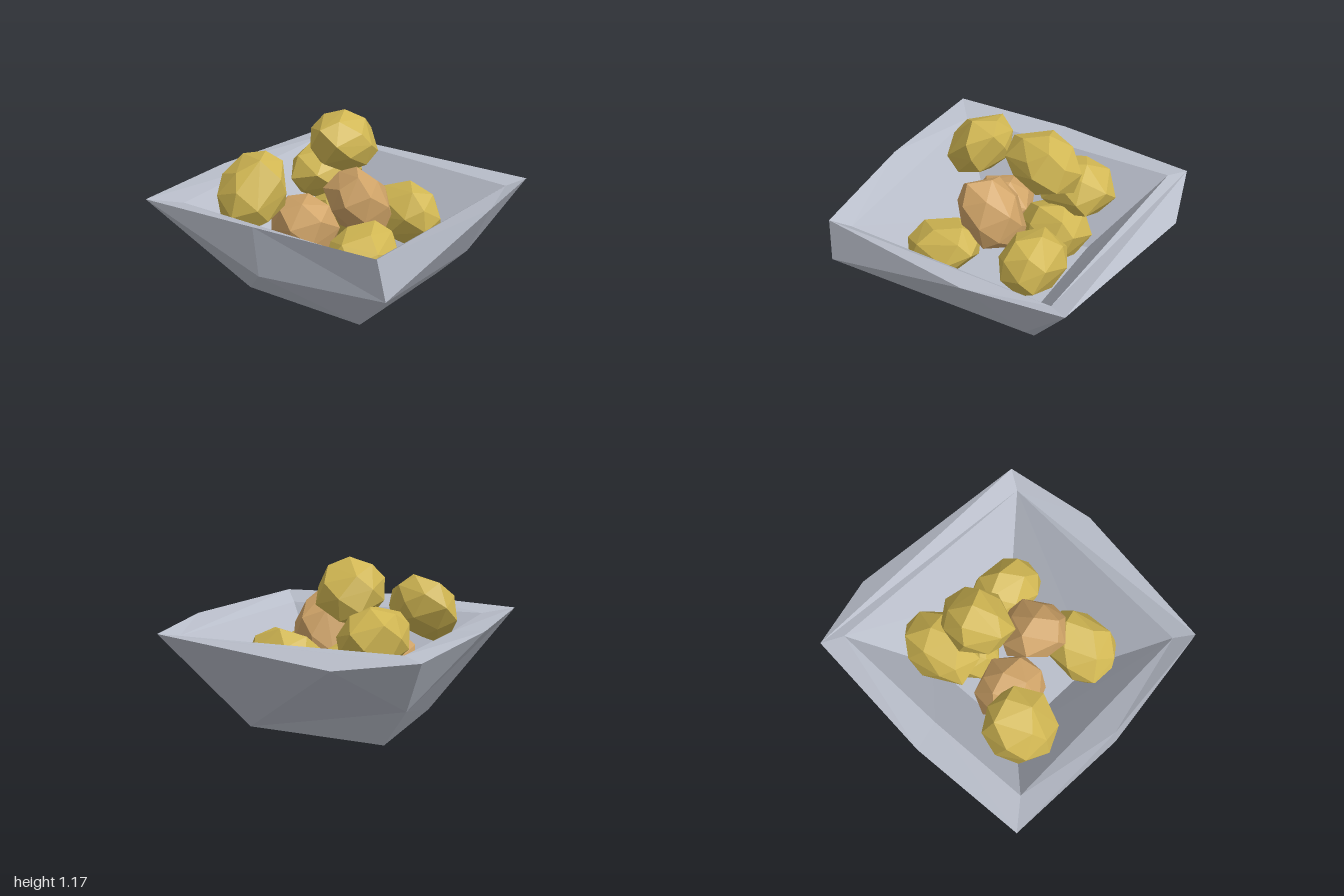
import * as THREE from 'three';
import { ConvexGeometry } from 'three/addons/geometries/ConvexGeometry.js';

// Small seeded generator, so every nugget has its own fixed shape
function seeded(seed) {
  let s = seed * 7919 + 17;
  return () => (s = (s * 16807) % 2147483647) / 2147483647;
}

// Faceted lump, leaning along x, that exactly fills a box given by centre and half sizes
function nugget(seed, centre, half, lean) {
  const rand = seeded(seed);
  for (let i = 0; i < 5; i++) rand();
  const points = [];
  const count = 24;
  for (let i = 0; i < count; i++) {
    const y = 1 - (2 * (i + 0.5)) / count;
    const a = i * 2.39996 + (rand() - 0.5) * 0.5;
    const r = Math.sqrt(1 - y * y);
    points.push(new THREE.Vector3(Math.cos(a) * r + lean * y, y, Math.sin(a) * r)
      .multiplyScalar(0.94 + rand() * 0.12));
  }
  const box = new THREE.Box3().setFromPoints(points);
  const mid = box.getCenter(new THREE.Vector3());
  const size = box.getSize(new THREE.Vector3()).multiplyScalar(0.5);
  const h = new THREE.Vector3(...half);
  points.forEach((p) => p.sub(mid).divide(size).multiply(h));
  const geometry = new ConvexGeometry(points);
  geometry.translate(...centre);
  return geometry;
}

// Rough-hewn hollow basin: outer shell, sloping rim, inner walls and floor
function basinGeometry() {
  const corners = [
    // 0-7 outer rim, from the front -x corner, anticlockwise from above
    [-0.88, 0.735, 0.87], [0.22, 0.715, 0.985], [0.88, 0.69, 0.87], [1, 0.6, -0.44],
    [0.84, 0.665, -0.955], [-0.16, 0.69, -0.99], [-1, 0.71, -0.91], [-0.98, 0.745, 0],
    // 8-11 lower corners of the walls
    [-0.85, 0.455, 0.915], [0.48, 0.23, 0.66], [0.58, 0.29, -0.75], [-0.98, 0.42, 0.04],
    // 12-15 foot
    [-0.57, 0.06, 0.52], [0.43, 0.015, 0.45], [0.4, 0, -0.52], [-0.52, 0.015, -0.45],
    // 16-20 inner rim
    [-0.78, 0.66, 0.77], [0.74, 0.66, 0.79], [0.76, 0.685, -0.81],
    [-0.1, 0.68, -0.78], [-0.84, 0.68, -0.72],
    // 21-24 inner floor
    [-0.43, 0.15, 0.38], [0.38, 0.15, 0.38], [0.36, 0.15, -0.42], [-0.43, 0.15, -0.36],
  ];
  const shell = [
    [0, 8, 1], [1, 8, 9], [1, 9, 2], [8, 12, 9], [12, 13, 9], // front
    [2, 9, 13], [2, 13, 3], [3, 13, 10], [3, 10, 4], [13, 14, 10], // +x side
    [4, 10, 5], [5, 10, 6], [10, 14, 15], [10, 15, 6], // back
    [6, 11, 7], [6, 15, 11], [15, 12, 11], [11, 12, 8], [7, 11, 8], [7, 8, 0], // -x side
    [12, 15, 14], [12, 14, 13], // underside
  ];
  const hollow = [
    [0, 1, 17], [1, 2, 17], [0, 17, 16], // front rim
    [2, 3, 4], [2, 4, 17], [4, 18, 17], // +x rim
    [4, 5, 18], [5, 19, 18], [5, 6, 19], [6, 20, 19], // back rim
    [6, 7, 20], [7, 16, 20], [7, 0, 16], // -x rim
    [16, 17, 21], [17, 22, 21], [17, 18, 22], [18, 23, 22], // inner walls
    [18, 19, 23], [19, 24, 23], [19, 20, 24], [20, 16, 24], [16, 21, 24],
    [21, 22, 23], [21, 23, 24], // floor
  ];
  const geometry = new THREE.BufferGeometry();
  geometry.setAttribute('position', new THREE.Float32BufferAttribute(
    [...shell, ...hollow].flatMap((face) => face.flatMap((i) => corners[i])), 3));
  geometry.computeVertexNormals();
  return geometry;
}

export function createModel() {
  const group = new THREE.Group();
  const make = (color) => new THREE.MeshStandardMaterial({ color, flatShading: true });
  const stone = make(0xb8bdc9);
  const gold = make(0xd0b652);
  const tan = make(0xd0a468);

  const basin = new THREE.Mesh(basinGeometry(), stone);
  basin.name = 'basin';
  group.add(basin);

  // Heap of nuggets: name, material, centre, half sizes, lean
  const heap = [
    ['goldNugget', gold, [-0.525, 0.735, -0.41], [0.235, 0.245, 0.24], 0.35],
    ['goldNugget', gold, [0.155, 0.95, -0.155], [0.25, 0.22, 0.22], -0.2],
    ['goldNugget', gold, [0.255, 0.66, -0.39], [0.29, 0.21, 0.22], 0],
    ['goldNugget', gold, [0.315, 0.47, 0.26], [0.2, 0.22, 0.26], 0],
    ['goldNugget', gold, [-0.35, 0.4, 0.36], [0.28, 0.21, 0.21], 0.3],
    ['goldNugget', gold, [0.21, 0.4, -0.2], [0.24, 0.22, 0.22], 0],
    ['tanNugget', tan, [-0.085, 0.645, 0.135], [0.23, 0.255, 0.23], -0.35],
    ['tanNugget', tan, [-0.22, 0.43, -0.22], [0.22, 0.22, 0.24], 0],
  ];
  heap.forEach(([name, material, centre, half, lean], i) => {
    const mesh = new THREE.Mesh(nugget(i + 1, centre, half, lean), material);
    mesh.name = name + (i + 1);
    group.add(mesh);
  });
  return group;
}
